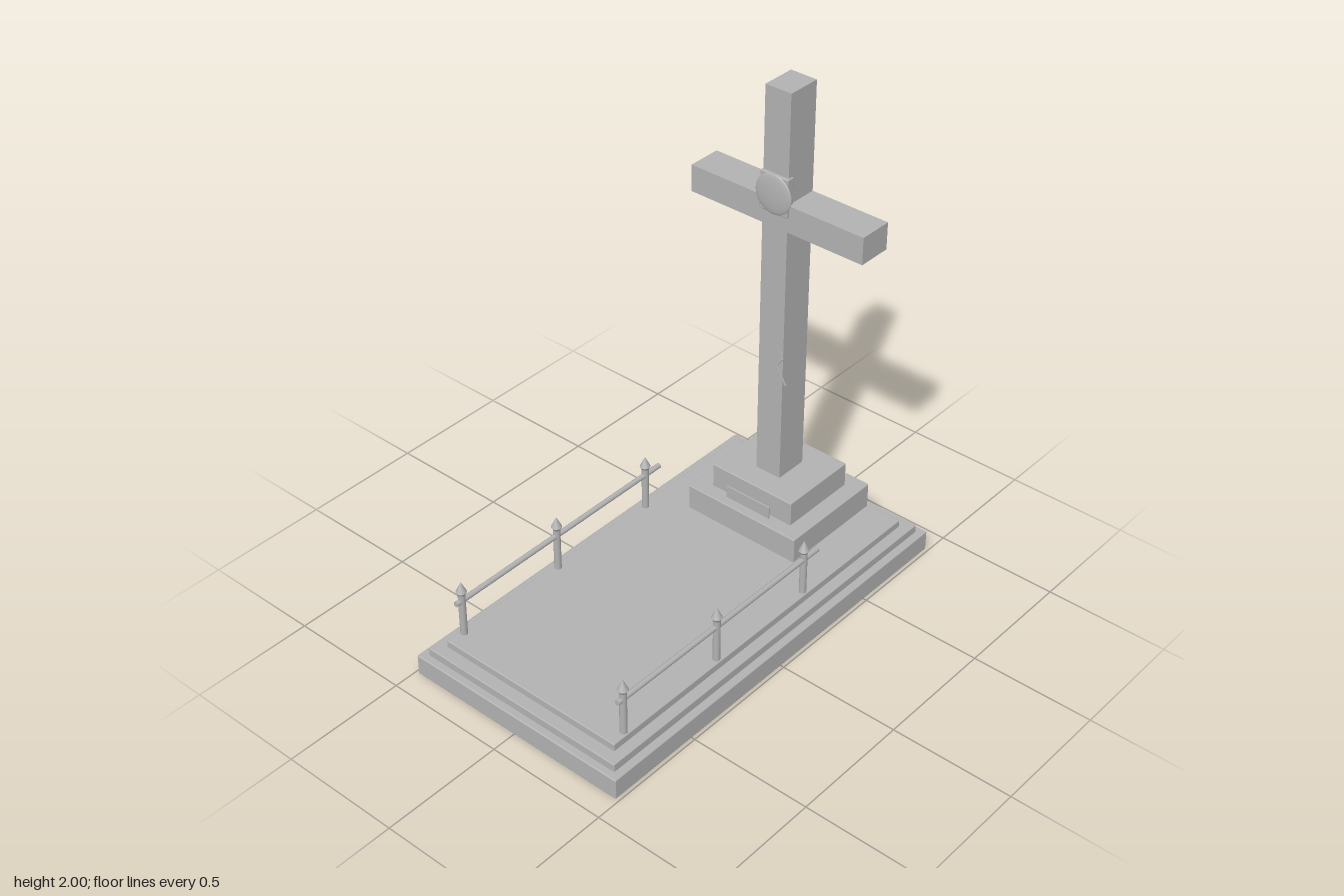
import * as THREE from 'three';
import { RoundedBoxGeometry } from 'three/addons/geometries/RoundedBoxGeometry.js';

export function createModel() {
  const root = new THREE.Group();
  root.name = 'graveMonument';
  const stone = new THREE.MeshStandardMaterial({ color: 0xb2b2b2 });
  stone.name = 'grey stone';

  const add = (name, geometry, x = 0, y = 0, z = 0, parent = root) => {
    const mesh = new THREE.Mesh(geometry, stone);
    mesh.name = name;
    mesh.position.set(x, y, z);
    parent.add(mesh);
    return mesh;
  };

  // Block given by half width, bottom, top, back and front; bevel 0 keeps it sharp
  const block = (name, hx, y0, y1, z0, z1, bevel = 0) => {
    const size = [hx * 2, y1 - y0, z1 - z0];
    const geometry = bevel
      ? new RoundedBoxGeometry(...size, 2, bevel)
      : new THREE.BoxGeometry(...size);
    return add(name, geometry, 0, (y0 + y1) / 2, (z0 + z1) / 2);
  };

  // Stepped base and plinth
  block('lowerSlab', 0.487, 0, 0.087, -0.9, 0.9, 0.005);
  block('middleSlab', 0.455, 0.08, 0.12, -0.87, 0.87, 0.004);
  block('upperSlab', 0.41, 0.11, 0.15, -0.82, 0.82, 0.004);
  block('lowerPlinth', 0.26, 0.145, 0.256, -0.812, -0.348, 0.004);
  block('upperPlinth', 0.192, 0.25, 0.358, -0.75, -0.41, 0.004);
  block('plaque', 0.105, 0.256, 0.308, -0.394, -0.388);

  // Cross
  block('crossUpright', 0.057, 0.355, 2, -0.648, -0.508);
  block('crossArms', 0.39, 1.45, 1.56, -0.648, -0.508);

  // Domed medallion on a square backing
  block('medallionBacking', 0.063, 1.512, 1.668, -0.53, -0.496, 0.004);
  const medallion = add('medallion', new THREE.SphereGeometry(0.081, 40, 20), 0, 1.59, -0.497);
  medallion.scale.z = 0.14;

  // Jagged crack, as thin strips between points
  const crack = (points) => {
    for (let i = 1; i < points.length; i++) {
      const [ax, ay] = points[i - 1], [bx, by] = points[i];
      const strip = add('crack', new THREE.BoxGeometry(Math.hypot(bx - ax, by - ay), 0.005, 0.004),
        (ax + bx) / 2, (ay + by) / 2, -0.501);
      strip.rotation.z = Math.atan2(by - ay, bx - ax);
    }
  };
  crack([[0.03, 0.96], [0.06, 0.915], [0.033, 0.868], [0.078, 0.802]]);
  crack([[0.06, 0.915], [-0.003, 0.865]]);

  // Side railings: posts with pointed finials and one rail
  const post = new THREE.CylinderGeometry(0.014, 0.014, 0.195, 16);
  const finialBase = new THREE.CylinderGeometry(0.021, 0.014, 0.012, 16);
  const finialTip = new THREE.ConeGeometry(0.021, 0.044, 16);
  const rail = new THREE.CylinderGeometry(0.011, 0.011, 1.1, 12).rotateX(Math.PI / 2);
  for (const side of [-1, 1]) {
    const railing = new THREE.Group();
    railing.name = side > 0 ? 'leftRailing' : 'rightRailing';
    railing.position.x = side * 0.391;
    root.add(railing);
    for (const z of [0.75, 0.255, -0.24]) {
      add('post', post, 0, 0.2425, z, railing);
      add('finialBase', finialBase, 0, 0.34, z, railing);
      add('finialTip', finialTip, 0, 0.368, z, railing);
    }
    add('rail', rail, 0, 0.304, 0.23, railing);
  }
  return root;
}
